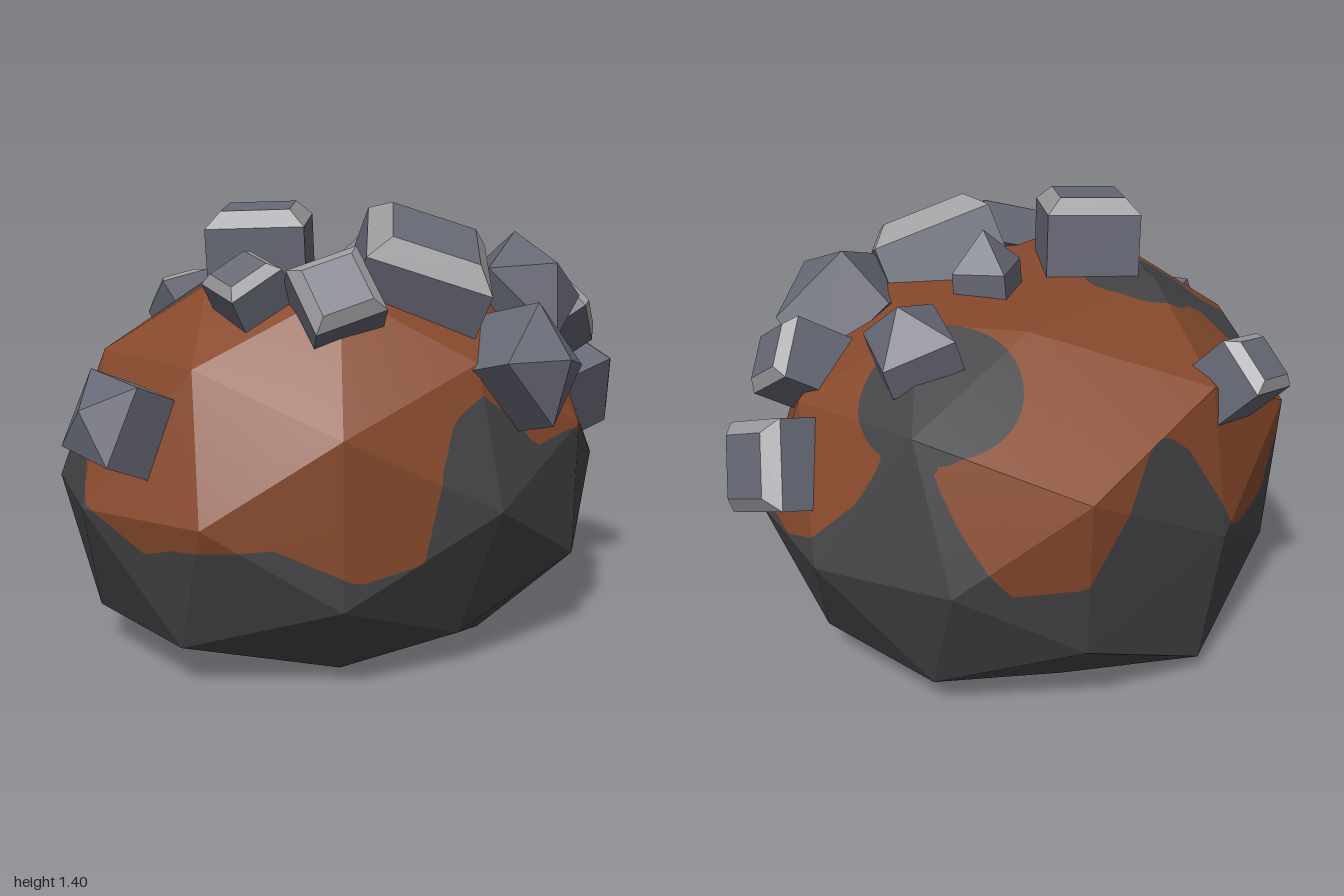
import * as THREE from 'three';

const rockGrey = new THREE.MeshStandardMaterial({ color: 0x444447 });
const rustOrange = new THREE.MeshStandardMaterial({ color: 0x87492c });
const crystalGrey = new THREE.MeshStandardMaterial({ color: 0x666875 });
const bevelGrey = new THREE.MeshStandardMaterial({ color: 0x9c9c9f });
Object.entries({ rockGrey, rustOrange, crystalGrey, bevelGrey }).forEach(([n, m]) => { m.name = n; });

// Lower edge of the rust: [degrees around from the front towards +x, height]
const rustEdge = [
  [0, 0.86], [10, 0.78], [18, 0.68], [33, 0.7], [55, 0.66], [63, 0.57], [77, 0.54], [87, 0.6],
  [97, 0.75], [104, 0.95], [109, 0.98], [118, 0.73], [128, 0.52], [143, 0.52], [150, 0.7],
  [158, 0.9], [163, 0.92], [170, 0.85], [179, 0.66], [184, 0.54], [192, 0.5], [208, 0.51],
  [211, 0.64], [217, 0.76], [225, 0.91], [232, 1.02], [238, 1.07], [243, 1.04], [248, 0.92],
  [252, 0.82], [260, 0.7], [270, 0.55], [283, 0.42], [290, 0.45], [310, 0.47], [327, 0.36],
  [342, 0.4], [346, 0.65], [351, 0.8], [360, 0.86],
];

// Bare grey spots inside the rust: x, y, z, radius
const bareSpots = [[0.6, 1.02, -0.19, 0.24], [-0.3, 1.14, -0.21, 0.18], [-0.44, 1.1, -0.23, 0.14]];

// Positive on rust, negative on bare rock
function rustField(p) {
  const a = (THREE.MathUtils.radToDeg(Math.atan2(p.x, p.z)) + 360) % 360;
  const i = Math.max(1, rustEdge.findIndex((e) => e[0] >= a));
  const [a0, y0] = rustEdge[i - 1], [a1, y1] = rustEdge[i];
  let f = p.y - (y0 + (y1 - y0) * (a - a0) / (a1 - a0));
  for (const [x, y, z, r] of bareSpots) f = Math.min(f, Math.hypot(p.x - x, p.y - y, p.z - z) - r);
  return f;
}

// Corners of the boulder that stray from the squashed sphere: [sphere point, place]
const corners = [
  [[0, 0.53, -0.85], [0, 1.0, -0.72]],
  [[0, -0.53, -0.85], [0, 0.06, -0.72]],
  [[0, -0.53, 0.85], [0, 0.11, 0.61]],
  [[0.31, 0.81, -0.5], [0.31, 1.15, -0.27]],
  [[-0.31, 0.81, -0.5], [-0.31, 1.15, -0.27]],
  [[0.5, 0.31, -0.81], [0.52, 0.81, -0.69]],
  [[-0.5, 0.31, -0.81], [-0.45, 0.8, -0.69]],
  [[0.81, 0.5, -0.31], [0.78, 0.97, -0.26]],
  [[-0.81, 0.5, 0.31], [-0.71, 0.95, 0.25]],
  [[-0.81, 0.5, -0.31], [-0.71, 0.95, -0.26]],
  [[0.81, -0.5, 0.31], [0.71, 0.12, 0.24]],
  [[0.81, -0.5, -0.31], [0.71, 0.12, -0.24]],
  [[0.5, 0.31, 0.81], [0.48, 0.71, 0.64]],
];

// Squash a sphere point into the boulder: flat base and flattened top
function shapeRock(n) {
  const corner = corners.find(([c]) => Math.hypot(n.x - c[0], n.y - c[1], n.z - c[2]) < 0.05);
  if (corner) return new THREE.Vector3(...corner[1]);
  return new THREE.Vector3(n.x * 0.94, THREE.MathUtils.clamp(0.53 + n.y * 0.8, 0, 1.16), n.z * 0.79);
}

// Keep the part of a triangle where sign * field is positive
function clip(tri, values, sign, out) {
  const poly = [];
  for (let i = 0; i < 3; i++) {
    const j = (i + 1) % 3, a = values[i] * sign, b = values[j] * sign;
    if (a >= 0) poly.push(tri[i]);
    if ((a >= 0) !== (b >= 0)) poly.push(tri[i].clone().lerp(tri[j], a / (a - b)));
  }
  for (let i = 2; i < poly.length; i++) {
    for (const p of [poly[0], poly[i - 1], poly[i]]) out.push(p.x, p.y, p.z);
  }
}

function splitTriangle(tri, depth, rust, bare) {
  if (depth === 0) {
    const values = tri.map(rustField);
    clip(tri, values, 1, rust);
    clip(tri, values, -1, bare);
    return;
  }
  const [a, b, c] = tri;
  const mid = (u, v) => u.clone().add(v).multiplyScalar(0.5);
  const ab = mid(a, b), bc = mid(b, c), ca = mid(c, a);
  for (const t of [[a, ab, ca], [ab, b, bc], [ca, bc, c], [ab, bc, ca]]) splitTriangle(t, depth - 1, rust, bare);
}

function makeMesh(geometry, material, name) {
  const flat = geometry.index ? geometry.toNonIndexed() : geometry;
  flat.computeVertexNormals();
  const mesh = new THREE.Mesh(flat, material);
  mesh.name = name;
  return mesh;
}

// Boulder, divided into rusty and bare surfaces
function makeBoulder() {
  const pos = new THREE.IcosahedronGeometry(1, 1).attributes.position;
  const rust = [], bare = [];
  for (let i = 0; i < pos.count; i += 3) {
    const tri = [0, 1, 2].map((k) => shapeRock(new THREE.Vector3().fromBufferAttribute(pos, i + k)));
    splitTriangle(tri, 4, rust, bare);
  }
  const group = new THREE.Group();
  group.name = 'boulder';
  for (const [points, material, name] of [[rust, rustOrange, 'rustPatches'], [bare, rockGrey, 'bareRock']]) {
    const g = new THREE.BufferGeometry();
    g.setAttribute('position', new THREE.Float32BufferAttribute(points, 3));
    group.add(makeMesh(g, material, name));
  }
  return group;
}

// Square crystal growing along a direction; a tip makes it pointed, otherwise the end is bevelled
function makeCrystal({ at, dir, size, height, spin, tip }) {
  const group = new THREE.Group();
  group.name = tip ? 'pointedCrystal' : 'bevelledCrystal';
  const r = size * Math.SQRT1_2;
  const cap = size * (tip || 0.16);
  const body = height - cap;
  const top = height / 2 - cap;
  group.add(makeMesh(new THREE.CylinderGeometry(r, r, body, 4).translate(0, top - body / 2, 0), crystalGrey, 'crystalBody'));
  if (tip) {
    group.add(makeMesh(new THREE.ConeGeometry(r, cap, 4, 1, true).translate(0, top + cap / 2, 0), crystalGrey, 'crystalTip'));
  } else {
    const bevel = new THREE.CylinderGeometry(r * 0.7, r, cap, 4, 1, true).translate(0, top + cap / 2, 0);
    group.add(makeMesh(bevel, bevelGrey, 'crystalBevel'));
    const face = new THREE.CircleGeometry(r * 0.7, 4).rotateX(-Math.PI / 2).translate(0, height / 2, 0);
    group.add(makeMesh(face, crystalGrey, 'crystalFace'));
  }
  const up = new THREE.Vector3(0, 1, 0);
  group.position.set(...at);
  group.quaternion.setFromUnitVectors(up, new THREE.Vector3(...dir).normalize());
  group.rotateY(THREE.MathUtils.degToRad(spin));
  return group;
}

const crystals = [
  // Pointed ones
  { at: [-0.865, 0.79, 0.1], dir: [-0.9, 0.38, 0.1], size: 0.24, height: 0.29, spin: 45, tip: 0.3 },
  { at: [0.17, 0.93, 0.72], dir: [0.15, 0.25, 0.95], size: 0.26, height: 0.29, spin: 2, tip: 0.34 },
  { at: [0.41, 1.11, 0.45], dir: [0.15, 0.6, 0.7], size: 0.3, height: 0.32, spin: -8, tip: 0.34 },
  { at: [0.6, 1.17, -0.07], dir: [0.35, 0.93, 0], size: 0.22, height: 0.21, spin: 15, tip: 0.5 },
  { at: [0.13, 1.22, 0.06], dir: [0.05, 1, 0.05], size: 0.17, height: 0.26, spin: -20, tip: 0.7 },
  // Bevelled ones
  { at: [0.03, 1.19, 0.38], dir: [0.05, 0.85, 0.42], size: 0.39, height: 0.28, spin: 8 },
  { at: [-0.29, 1.23, 0], dir: [-0.08, 1, 0.04], size: 0.3, height: 0.32, spin: 3 },
  { at: [-0.33, 1.13, 0.42], dir: [-0.45, 0.55, 0.7], size: 0.22, height: 0.22, spin: 33 },
  { at: [-0.48, 1.14, 0.21], dir: [-0.5, 0.8, 0.15], size: 0.18, height: 0.2, spin: 38 },
  { at: [0.68, 1.0, 0.33], dir: [0.75, 0.5, 0.35], size: 0.2, height: 0.22, spin: -32 },
  { at: [0.86, 0.755, 0.24], dir: [0.94, 0.28, 0.14], size: 0.27, height: 0.23, spin: -32 },
  { at: [-0.12, 1.0, -0.73], dir: [-0.12, 0.65, -0.6], size: 0.19, height: 0.2, spin: 42 },
];

export function createModel() {
  const model = new THREE.Group();
  model.name = 'crystalRock';
  model.add(makeBoulder());
  crystals.forEach((c) => model.add(makeCrystal(c)));
  return model;
}
